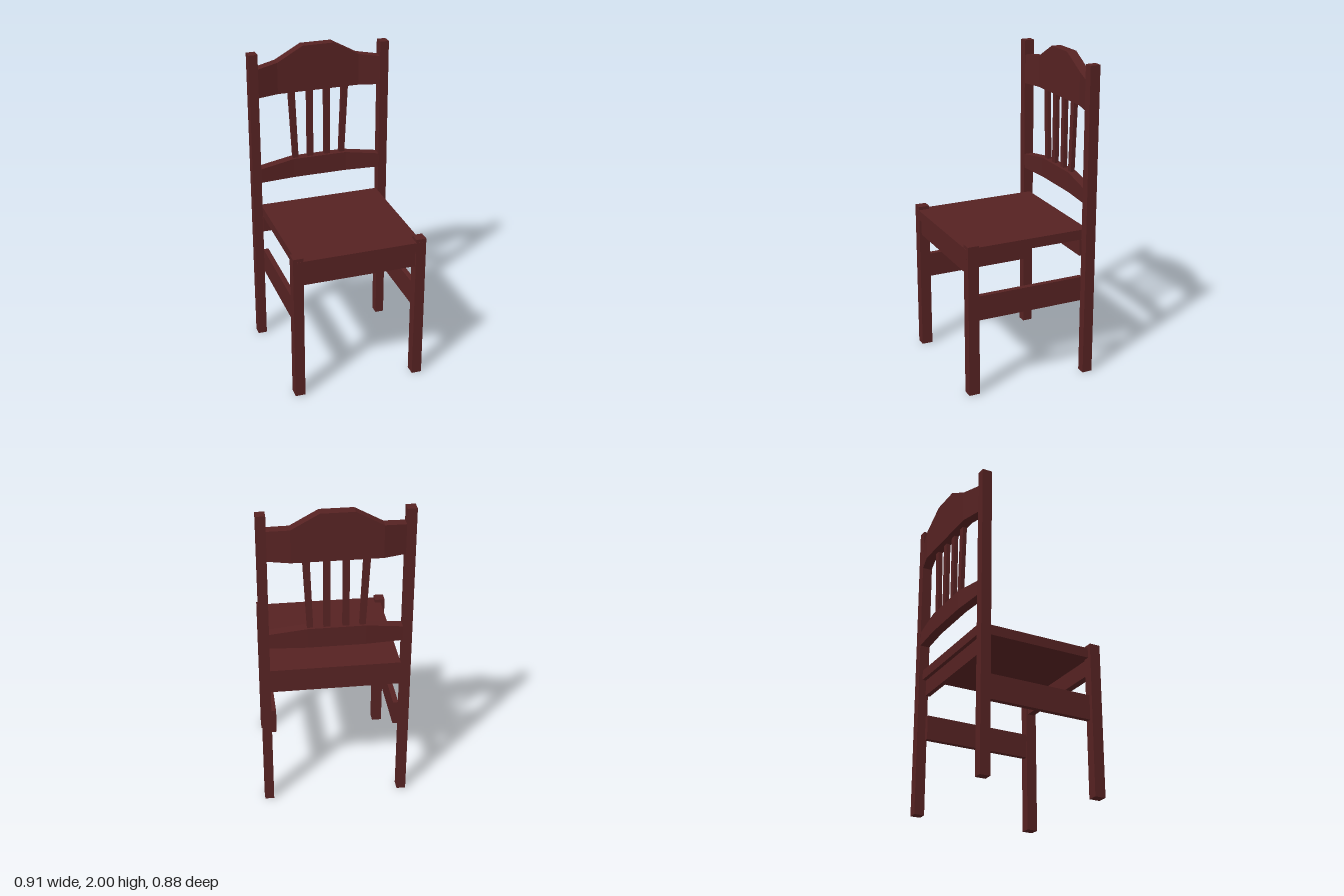
import * as THREE from 'three';

const wood = new THREE.MeshStandardMaterial({ color: 0x562222 });
wood.name = 'dark red wood';

// Box given by its extents on each axis
function box(name, [x0, x1], [y0, y1], [z0, z1]) {
  const geometry = new THREE.BoxGeometry(x1 - x0, y1 - y0, z1 - z0);
  geometry.translate((x0 + x1) / 2, (y0 + y1) / 2, (z0 + z1) / 2);
  const mesh = new THREE.Mesh(geometry, wood);
  mesh.name = name;
  return mesh;
}

// Bent rail: stations [x, bottom, top, zFront, zBack] for x >= 0, mirrored to the other side
function rail(name, half) {
  const stations = [...half.map(([x, ...rest]) => [-x, ...rest]).reverse(), ...half];
  const rings = stations.map(([x, y0, y1, zf, zb]) => [[x, y0, zf], [x, y0, zb], [x, y1, zb], [x, y1, zf]]);
  const positions = [];
  const quad = (a, b, c, d) => positions.push(...a, ...b, ...c, ...a, ...c, ...d);
  for (let i = 0; i < rings.length - 1; i++) {
    for (let k = 0; k < 4; k++) {
      const n = (k + 1) % 4;
      quad(rings[i][k], rings[i][n], rings[i + 1][n], rings[i + 1][k]);
    }
  }
  const first = rings[0], last = rings[rings.length - 1];
  quad(first[3], first[2], first[1], first[0]);
  quad(...last);
  const geometry = new THREE.BufferGeometry();
  geometry.setAttribute('position', new THREE.Float32BufferAttribute(positions, 3));
  geometry.computeVertexNormals();
  const mesh = new THREE.Mesh(geometry, wood);
  mesh.name = name;
  return mesh;
}

// Back slat that may lean sideways between the two rails
function slat(name, [b0, b1], [t0, t1]) {
  const shape = new THREE.Shape([
    new THREE.Vector2(b0, 1.24), new THREE.Vector2(b1, 1.24),
    new THREE.Vector2(t1, 1.72), new THREE.Vector2(t0, 1.72),
  ]);
  const geometry = new THREE.ExtrudeGeometry(shape, { depth: 0.027, bevelEnabled: false });
  geometry.translate(0, 0, -0.405);
  const mesh = new THREE.Mesh(geometry, wood);
  mesh.name = name;
  return mesh;
}

export function createModel() {
  const chair = new THREE.Group();
  chair.name = 'chair';

  // Seat and aprons
  chair.add(
    box('seat', [-0.398, 0.398], [0.89, 0.954], [-0.38, 0.436]),
    box('frontApron', [-0.365, 0.365], [0.785, 0.892], [0.375, 0.42]),
    box('rearApron', [-0.4, 0.4], [0.785, 0.892], [-0.355, -0.325]),
  );

  // Legs, stretchers and slats on both sides
  for (const [side, s] of [['left', 1], ['right', -1]]) {
    const span = (a, b) => (s > 0 ? [a, b] : [-b, -a]);
    chair.add(
      box(side + 'FrontLeg', span(0.36, 0.424), [0, 0.975], [0.364, 0.434]),
      box(side + 'BackPost', span(0.398, 0.455), [0, 1.985], [-0.404, -0.339]),
      box(side + 'Stretcher', span(0.366, 0.399), [0.482, 0.64], [-0.35, 0.37]),
      slat(side + 'InnerSlat', span(0.037, 0.076), span(0.037, 0.076)),
      slat(side + 'OuterSlat', span(0.137, 0.173), span(0.156, 0.198)),
    );
  }

  // Bent rails of the backrest
  chair.add(
    rail('topRail', [
      [0.1, 1.704, 2, -0.375, -0.439],
      [0.266, 1.704, 1.908, -0.375, -0.439],
      [0.4, 1.704, 1.89, -0.341, -0.403],
    ]),
    rail('lowerRail', [
      [0.175, 1.128, 1.255, -0.36, -0.42],
      [0.4, 1.128, 1.222, -0.341, -0.403],
    ]),
  );
  return chair;
}
